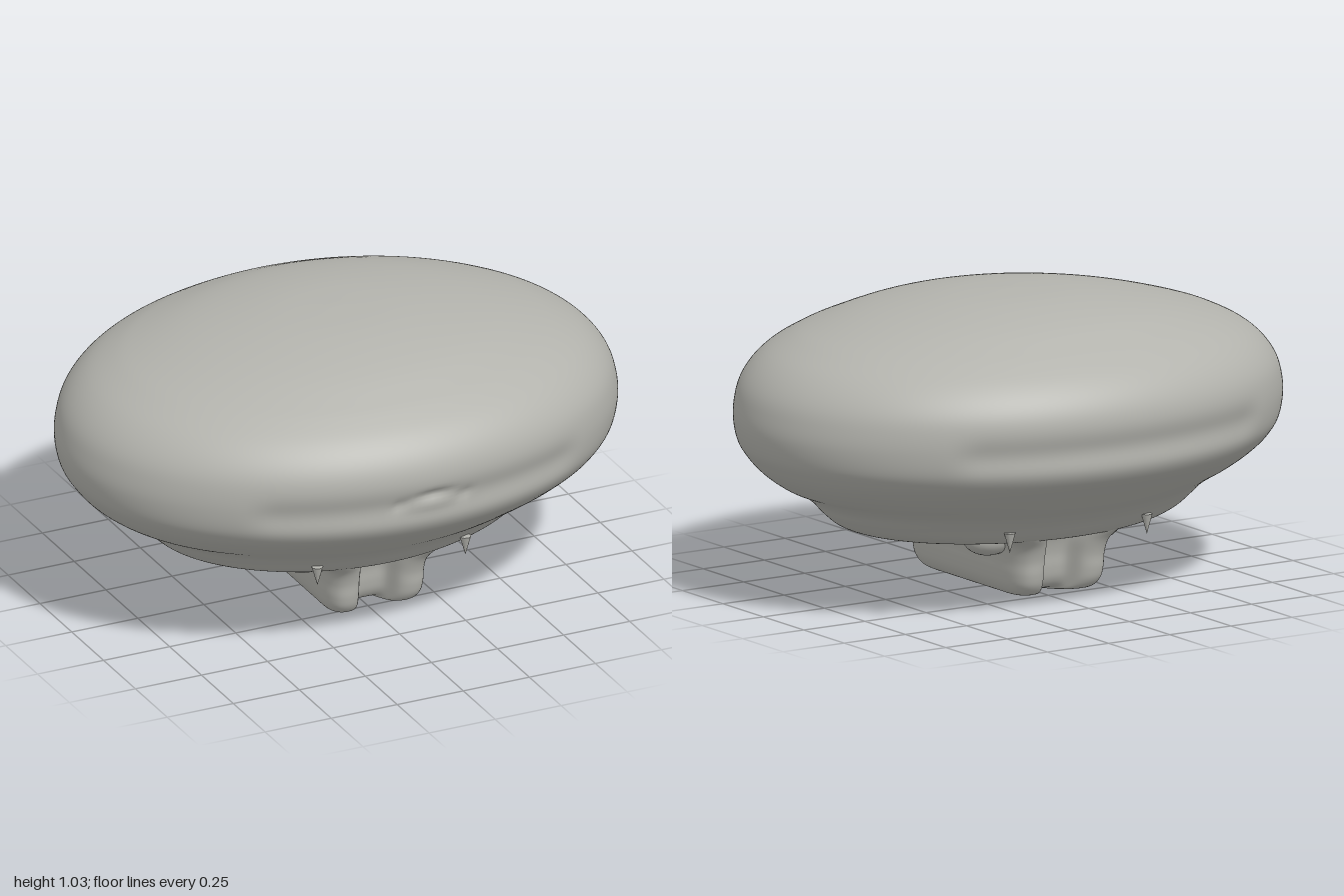
import * as THREE from 'three';
import { mergeVertices } from 'three/addons/utils/BufferGeometryUtils.js';

// Skin a stack of rings (top to bottom); each ring is [y, halfWidthX, halfDepthZ].
function loft(rings, plan, rows, reshape) {
  const curve = new THREE.CatmullRomCurve3(rings.map(([y, rx, rz]) => new THREE.Vector3(rx, y, rz)));
  const n = plan.length, pos = [], index = [], v = new THREE.Vector3();
  for (let i = 0; i <= rows; i++) {
    const r = curve.getPoint(i / rows);
    for (const p of plan) {
      v.set(r.x * p.x, r.y, r.z * p.y);
      if (reshape) reshape(v);
      pos.push(v.x, v.y, v.z);
    }
  }
  for (let i = 0; i < rows; i++) {
    for (let j = 0; j < n; j++) {
      const a = i * n + j, b = i * n + (j + 1) % n;
      index.push(a, a + n, b, b, a + n, b + n);
    }
  }
  let g = new THREE.BufferGeometry();
  g.setAttribute('position', new THREE.Float32BufferAttribute(pos, 3));
  g.setIndex(index);
  g = mergeVertices(g, 1e-5);
  g.computeVertexNormals();
  return g;
}

const bell = (d, w) => Math.exp(-((d / w) ** 2));

export function createModel() {
  const group = new THREE.Group();
  const grey = new THREE.MeshStandardMaterial({ color: 0xb3b3ad });
  grey.name = 'warm grey';
  const add = (name, geometry, x = 0, y = 0, z = 0) => {
    const m = new THREE.Mesh(geometry, grey);
    m.name = name;
    m.position.set(x, y, z);
    group.add(m);
    return m;
  };

  // Oval body with the stepped tray below it
  const ellipse = [];
  for (let j = 0; j < 240; j++) {
    const t = (j / 240) * Math.PI * 2;
    ellipse.push(new THREE.Vector2(Math.sin(t), Math.cos(t)));
  }
  const bodyRings = [
    [1.03, 0, 0], [1.021, 0.22, 0.2], [1.0, 0.39, 0.35], [0.97, 0.55, 0.47], [0.93, 0.70, 0.565],
    [0.9, 0.785, 0.625], [0.85, 0.88, 0.7], [0.8, 0.937, 0.745], [0.75, 0.972, 0.77],
    [0.7, 0.99, 0.78], [0.63, 1.0, 0.779], [0.55, 0.985, 0.768], [0.5, 0.955, 0.74],
    [0.45, 0.91, 0.685], [0.4, 0.84, 0.62], [0.37, 0.775, 0.58], [0.34, 0.732, 0.535],
    [0.3, 0.695, 0.487], [0.26, 0.645, 0.45], [0.236, 0.575, 0.42], [0.229, 0.45, 0.36],
    [0.226, 0.2, 0.16], [0.225, 0, 0],
  ];
  add('body', loft(bodyRings, ellipse, 140, (v) => {
    // shallow panels pressed into the front and back
    const side = Math.sign(v.z);
    const fade = THREE.MathUtils.smoothstep(0.66 - Math.abs(v.x), 0, 0.14);
    if (Math.abs(v.z) < 0.3) return;
    v.z -= side * 0.016 * fade * bell(v.y - 0.61, 0.055);
    // small latch relief on the front
    if (side > 0) {
      v.z -= 0.014 * bell(v.x, 0.06) * bell(v.y - 0.645, 0.015);
      v.z -= 0.012 * bell(Math.abs(v.x) - 0.12, 0.02) * bell(v.y - 0.62, 0.02);
      v.z += 0.008 * bell(v.x, 0.1) * bell(v.y - 0.605, 0.02);
    }
  }));

  // Keel running front to back, notched at both ends
  const quarter = [[0, 0.74], [0.28, 0.77], [0.42, 0.94], [0.62, 1], [0.86, 0.97], [0.98, 0.85], [1, 0.5]];
  const corners = [
    ...quarter,
    [1, 0],
    ...quarter.slice(1).reverse().map(([x, z]) => [x, -z]),
    ...quarter.map(([x, z]) => [-x, -z]),
    [-1, 0],
    ...quarter.slice(1).reverse().map(([x, z]) => [-x, z]),
  ];
  const outline = new THREE.CatmullRomCurve3(
    corners.map(([x, z]) => new THREE.Vector3(x, z, 0)), true, 'centripetal');
  const keelPlan = outline.getPoints(120).slice(0, -1).map((p) => new THREE.Vector2(p.x, p.y));
  const keelRings = [
    [0.29, 0.29, 0.44], [0.24, 0.225, 0.41], [0.2, 0.192, 0.383], [0.15, 0.184, 0.366],
    [0.1, 0.183, 0.36], [0.06, 0.178, 0.348], [0.03, 0.162, 0.32], [0.014, 0.12, 0.25],
    [0.004, 0.06, 0.14], [0, 0, 0],
  ];
  add('keel', loft(keelRings, keelPlan, 48));

  // Rounded lugs beside the keel and thin pins near its ends
  const lug = new THREE.SphereGeometry(1, 24, 16);
  const pin = new THREE.ConeGeometry(0.02, 0.07, 10);
  for (const sx of [-1, 1]) {
    for (const sz of [-1, 1]) {
      add('sideLug', lug, sx * 0.215, 0.225, sz * 0.21).scale.set(0.1, 0.065, 0.07);
      add('pin', pin, sx * 0.28, 0.25, sz * 0.435).rotation.x = Math.PI;
    }
  }
  return group;
}
